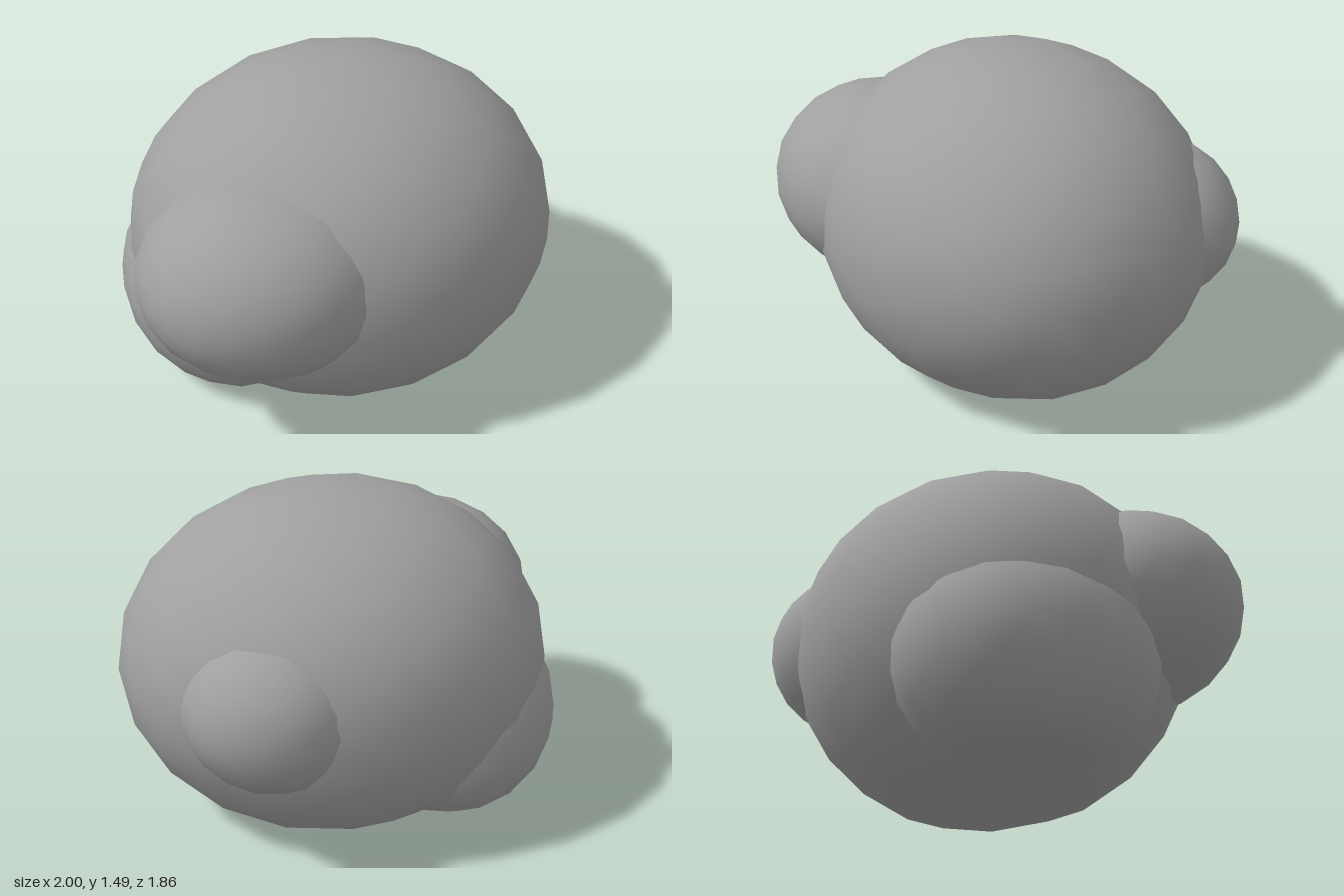
import * as THREE from 'three';
import { mergeVertices } from 'three/addons/utils/BufferGeometryUtils.js';

// Smooth, coarse ellipsoid whose underside is pressed flat onto the ground
function boulder(name, center, radii, material) {
  let geo = new THREE.IcosahedronGeometry(1, 3);
  geo.deleteAttribute('normal');
  geo.deleteAttribute('uv');
  geo = mergeVertices(geo, 1e-4);
  geo.scale(...radii);
  geo.translate(...center);
  const p = geo.attributes.position;
  for (let i = 0; i < p.count; i++) p.setY(i, Math.max(0, p.getY(i)));
  geo.computeVertexNormals();
  const mesh = new THREE.Mesh(geo, material);
  mesh.name = name;
  return mesh;
}

export function createModel() {
  const group = new THREE.Group();
  group.name = 'rockCluster';
  const stone = new THREE.MeshStandardMaterial({ color: 0xa0a0a0 });
  stone.name = 'greyStone';

  group.add(
    // main mass
    boulder('mainBoulder', [0.03, 0.69, -0.02], [0.97, 0.795, 0.88], stone),
    // bulge on the front right
    boulder('frontLump', [-0.44, 0.775, 0.425], [0.56, 0.44, 0.5], stone),
    // low bulge on the right side
    boulder('lowSideLump', [-0.47, 0.43, -0.1], [0.51, 0.51, 0.6], stone),
    // small bulge on the back left
    boulder('backLump', [0.37, 0.72, -0.53], [0.415, 0.375, 0.4], stone),
  );
  return group;
}
